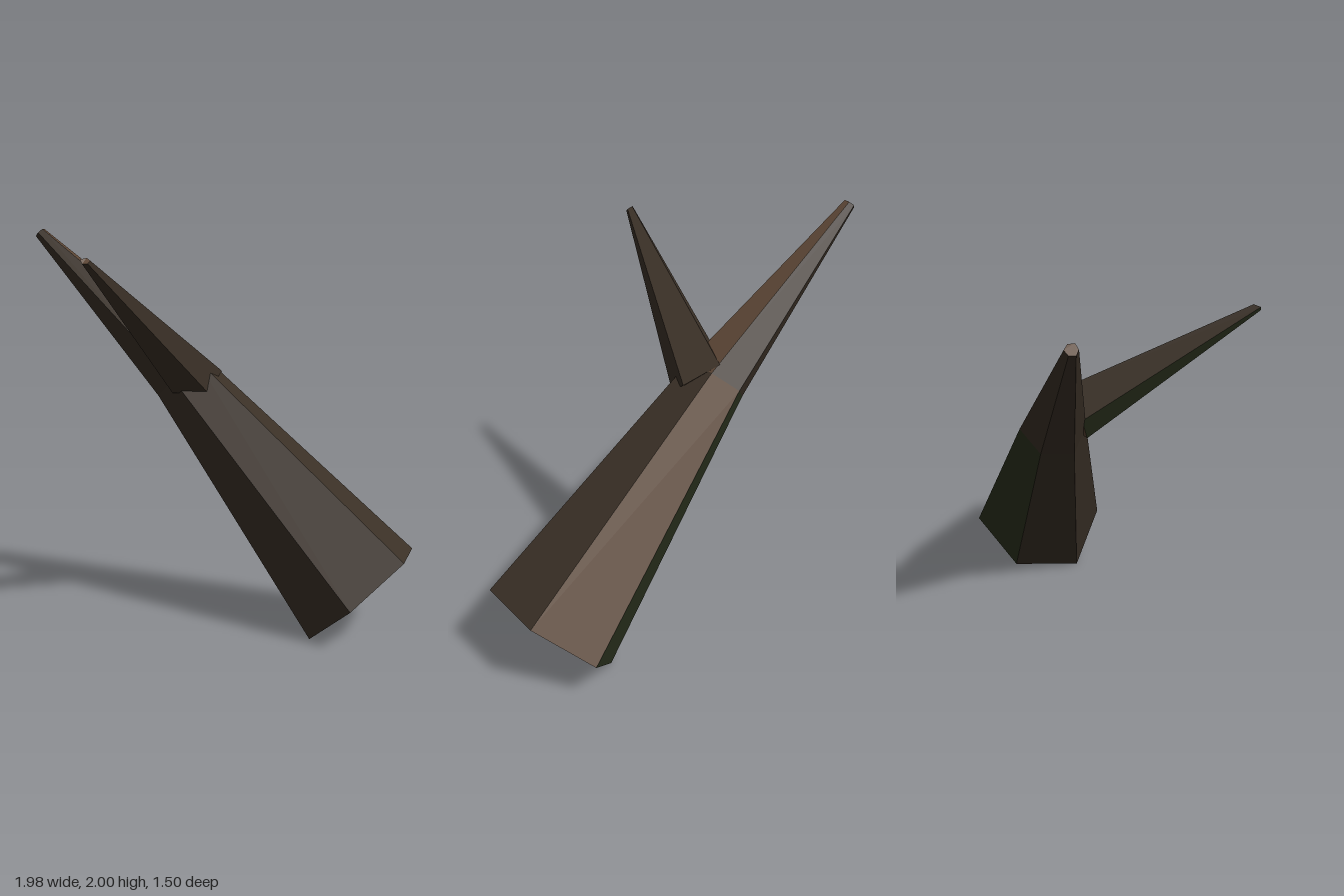
import * as THREE from 'three';

const flat = (name, color) => {
  const m = new THREE.MeshStandardMaterial({ color, flatShading: true });
  m.name = name;
  return m;
};

// Rings run counter-clockwise when seen from the tip
const trunkBase = [
  [0.99, 0.43, -0.28], [0.89, 0.41, -0.62], [0.63, 0.22, -0.75],
  [0.48, 0.02, -0.51], [0.55, 0, -0.17], [0.81, 0.21, -0.08],
];
const branchBase = [
  [-0.16, 1.19, -0.02], [0, 1.2, -0.09], [0, 1.29, -0.23],
  [-0.17, 1.38, -0.26], [-0.26, 1.33, -0.03],
];

// Copy of a ring, scaled about its centre and moved to a new centre
function moveRing(ring, centre, scale) {
  const mid = [0, 1, 2].map(k => ring.reduce((s, p) => s + p[k], 0) / ring.length);
  return ring.map(p => p.map((v, k) => centre[k] + (v - mid[k]) * scale));
}

// Flat-sided tapering section; paint gives a material index for each side
function section(name, low, high, mats, paint, capLow, capHigh) {
  const pos = [];
  const geo = new THREE.BufferGeometry();
  const add = (mat, ...pts) => {
    geo.addGroup(pos.length / 3, pts.length, mat);
    pts.forEach(p => pos.push(...p));
  };
  const n = low.length;
  for (let i = 0; i < n; i++) {
    const j = (i + 1) % n;
    add(paint[i], low[i], low[j], high[j], low[i], high[j], high[i]);
  }
  for (let i = 1; i < n - 1; i++) {
    if (capLow) add(1, low[0], low[i + 1], low[i]);
    if (capHigh) add(1, high[0], high[i], high[i + 1]);
  }
  geo.setAttribute('position', new THREE.Float32BufferAttribute(pos, 3));
  geo.computeVertexNormals();
  const mesh = new THREE.Mesh(geo, mats);
  mesh.name = name;
  return mesh;
}

export function createModel() {
  const mats = [
    flat('darkBark', 0x3b3127),
    flat('brownWood', 0x5c4635),
    flat('mossGreen', 0x2c331f),
  ];
  const trunkBend = moveRing(trunkBase, [-0.2, 1.26, -0.17], 0.45);
  const trunkTip = moveRing(trunkBase, [-0.965, 1.98, 0.02], 0.085);
  const branchTip = moveRing(branchBase, [-0.095, 1.855, 0.735], 0.14);

  const group = new THREE.Group();
  group.name = 'brokenBranch';
  group.add(
    section('lowerTrunk', trunkBase, trunkBend, mats, [0, 1, 2, 0, 0, 0], true, false),
    section('upperTrunk', trunkBend, trunkTip, mats, [1, 0, 0, 0, 0, 0], false, true),
    section('sideTwig', branchBase, branchTip, mats, [0, 0, 0, 0, 2], true, true),
  );
  return group;
}
